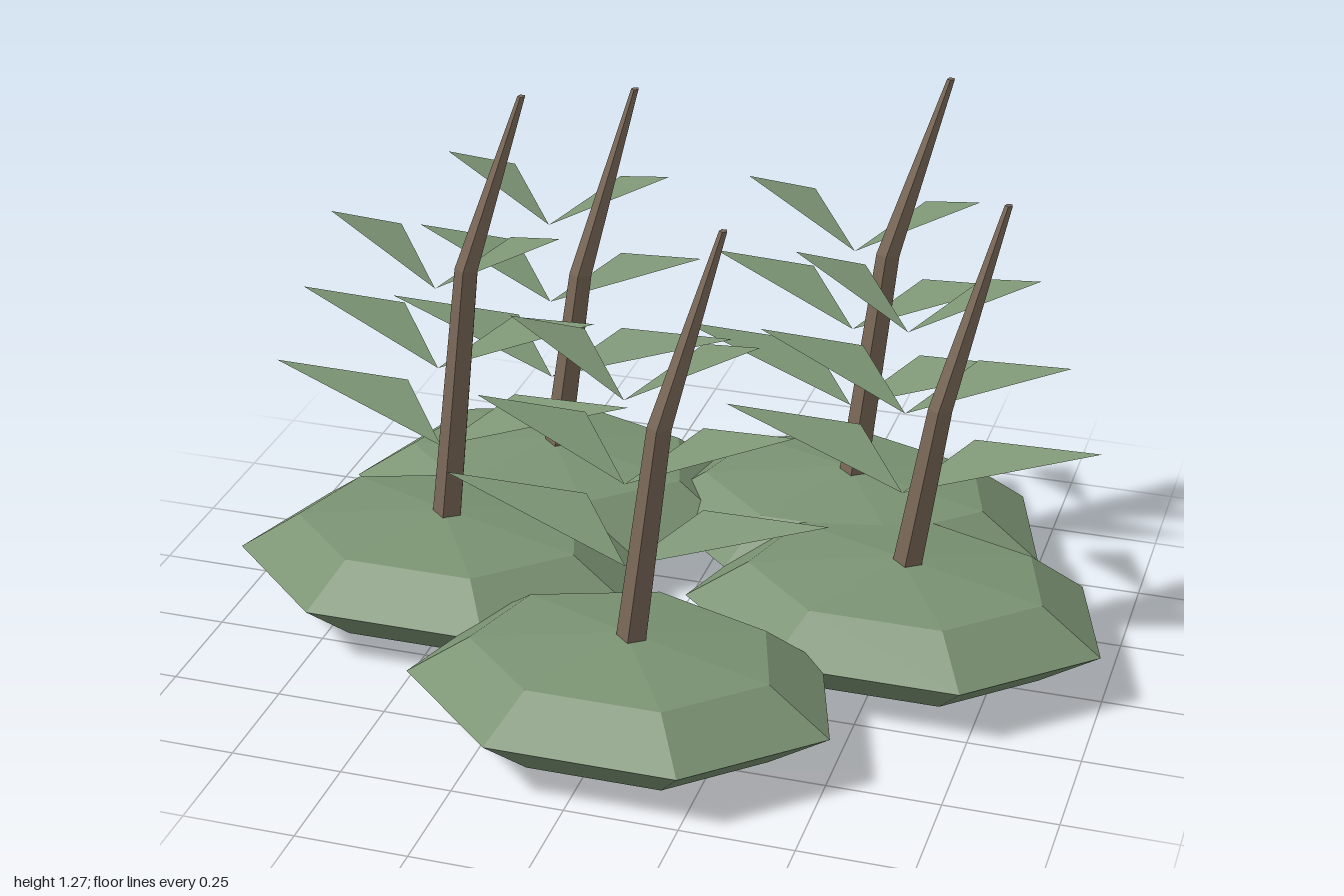
import * as THREE from 'three';

const green = new THREE.MeshStandardMaterial({ color: 0x7a9272, flatShading: true, side: THREE.DoubleSide });
green.name = 'sage green';
const brown = new THREE.MeshStandardMaterial({ color: 0x7a6858, flatShading: true });
brown.name = 'bark brown';

// Flattened seven-sided mound with a corner pointing back
function moundGeometry() {
  return new THREE.SphereGeometry(1, 7, 4)
    .rotateY(-Math.PI / 2)
    .scale(0.484, 0.135, 0.352)
    .translate(0, 0.135, 0);
}

// Tapered stem with one bend: a five-sided cylinder whose rows follow three stations
function stemGeometry(bendY, tipY) {
  const rows = [
    { p: [0, 0.13, 0], r: 0.037 },
    { p: [0.08, bendY, 0.003], r: 0.028 },
    { p: [0.195, tipY, -0.052], r: 0.009 },
  ];
  const geo = new THREE.CylinderGeometry(1, 1, 1, 5, 2);
  const pos = geo.attributes.position;
  for (let i = 0; i < pos.count; i++) {
    const { p, r } = rows[Math.round((pos.getY(i) + 0.5) * 2)];
    pos.setXYZ(i, p[0] + pos.getX(i) * r, p[1], p[2] + pos.getZ(i) * r);
  }
  geo.computeVertexNormals();
  return geo;
}

// Single triangular leaf: root, long tip, rear corner; side is +1 or -1
function leafGeometry(side, length) {
  const root = [0, 0, 0];
  const tip = [side * length, 0.125, -0.068];
  const rear = [side * 0.13, 0.083, -0.138];
  const corners = side > 0 ? [root, tip, rear] : [root, rear, tip];
  const geo = new THREE.BufferGeometry();
  geo.setAttribute('position', new THREE.Float32BufferAttribute(corners.flat(), 3));
  geo.computeVertexNormals();
  return geo;
}

function addMesh(parent, name, geometry, material) {
  const mesh = new THREE.Mesh(geometry, material);
  mesh.name = name;
  parent.add(mesh);
  return mesh;
}

export function createModel() {
  const model = new THREE.Group();
  model.name = 'plantCluster';

  // x, z, bend height, tip height of each plant
  const plants = [
    [-0.525, 0.047, 0.88, 1.275],
    [-0.4, -0.363, 0.71, 1.157],
    [0.042, 0.452, 0.772, 1.2],
    [0.312, -0.423, 0.825, 1.237],
    [0.525, -0.037, 0.65, 1.117],
  ];

  for (const [x, z, bendY, tipY] of plants) {
    const plant = new THREE.Group();
    plant.name = 'plant';
    plant.position.set(x, 0, z);
    addMesh(plant, 'mound', moundGeometry(), green);
    addMesh(plant, 'stem', stemGeometry(bendY, tipY), brown);

    // Three tiers of mirrored leaves, shorter toward the top
    for (let tier = 0; tier < 3; tier++) {
      for (const side of [-1, 1]) {
        const leaf = addMesh(plant, side > 0 ? 'leftLeaf' : 'rightLeaf', leafGeometry(side, 0.423 - tier * 0.077), green);
        leaf.position.set(0, 0.428 + tier * 0.195, -0.003);
      }
    }
    model.add(plant);
  }
  return model;
}
